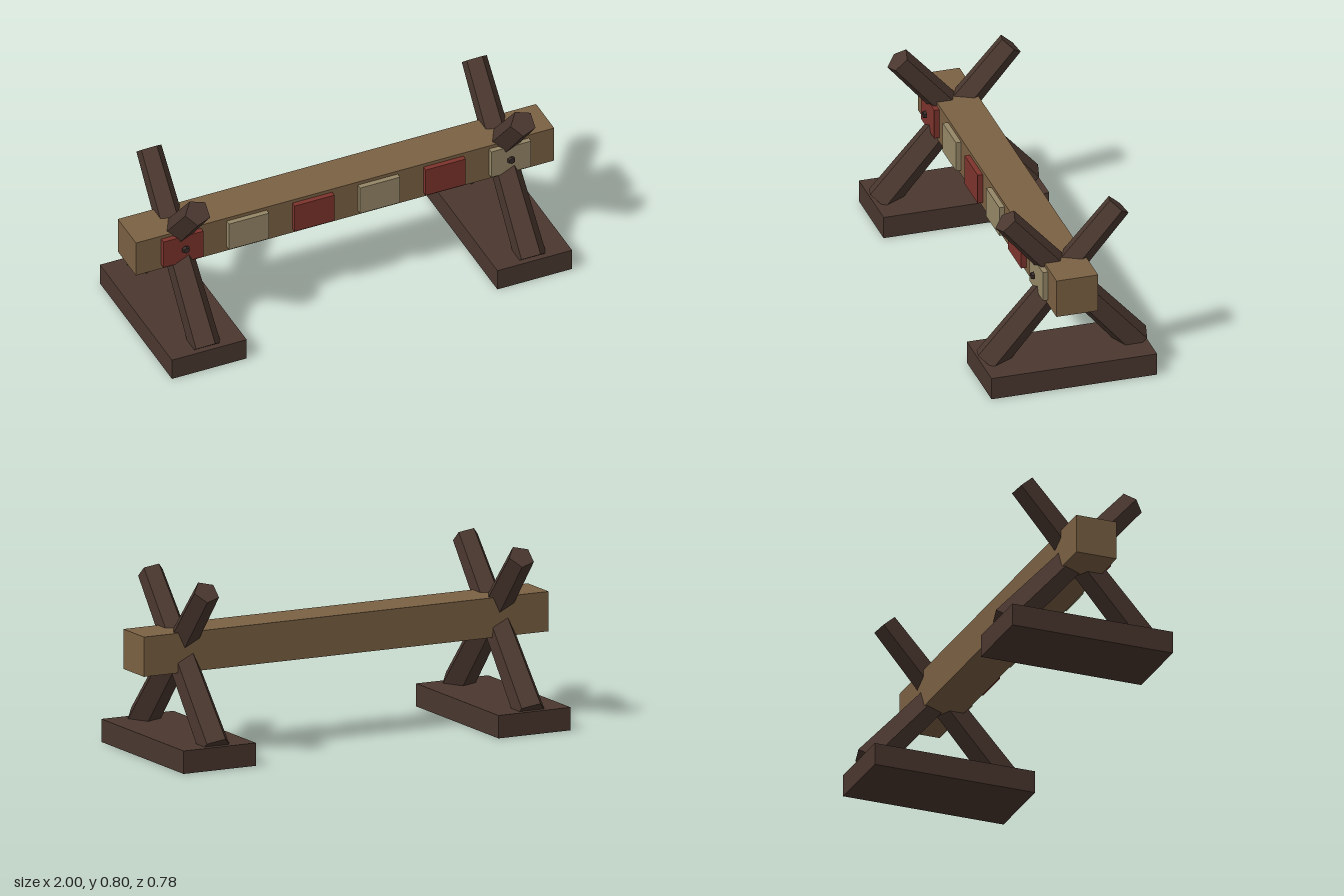
import * as THREE from 'three';

const mat = (name, color) => {
  const m = new THREE.MeshStandardMaterial({ color, flatShading: true });
  m.name = name;
  return m;
};

export function createModel() {
  const darkWood = mat('dark wood', 0x4a372f);
  const beamWood = mat('beam wood', 0x7a6143);
  const red = mat('faded red paint', 0x7d332c);
  const cream = mat('faded cream paint', 0x958767);
  const iron = mat('dark iron', 0x382c29);

  const model = new THREE.Group();
  model.name = 'barricade';
  const add = (parent, name, geometry, material, x, y, z) => {
    const mesh = new THREE.Mesh(geometry, material);
    mesh.name = name;
    mesh.position.set(x, y, z);
    parent.add(mesh);
    return mesh;
  };

  // Horizontal beam
  add(model, 'beam', new THREE.BoxGeometry(2, 0.177, 0.19), beamWood, 0, 0.4715, 0);

  // Alternating painted panels along the front
  const panel = new THREE.BoxGeometry(0.191, 0.139, 0.03);
  for (let i = 0; i < 6; i++) {
    add(model, 'panel', panel, i % 2 ? cream : red, (i - 2.5) * 0.3135, 0.474, 0.104);
  }

  // Crossed five-sided logs on a flat foot, with a bolt head in front
  const log = new THREE.CylinderGeometry(0.0594, 0.0735, 0.9, 5).rotateY(Math.PI / 2);
  const foot = new THREE.BoxGeometry(0.357, 0.102, 0.756);
  const bolt = new THREE.CylinderGeometry(0.015, 0.019, 0.013, 6).rotateX(Math.PI / 2);
  for (const x of [-0.778, 0.778]) {
    const trestle = new THREE.Group();
    trestle.name = x < 0 ? 'rightTrestle' : 'leftTrestle';
    trestle.position.x = x;
    model.add(trestle);

    add(trestle, 'foot', foot, darkWood, 0, 0.051, 0);
    for (const turn of [0, Math.PI]) {
      const crossLog = new THREE.Group();
      crossLog.name = turn ? 'backLog' : 'frontLog';
      crossLog.rotation.y = turn;
      add(crossLog, 'log', log, darkWood, 0, 0.429, 0.041).rotation.x = -0.72;
      trestle.add(crossLog);
    }
    add(trestle, 'bolt', bolt, iron, 0, 0.48, 0.135);
  }
  return model;
}
